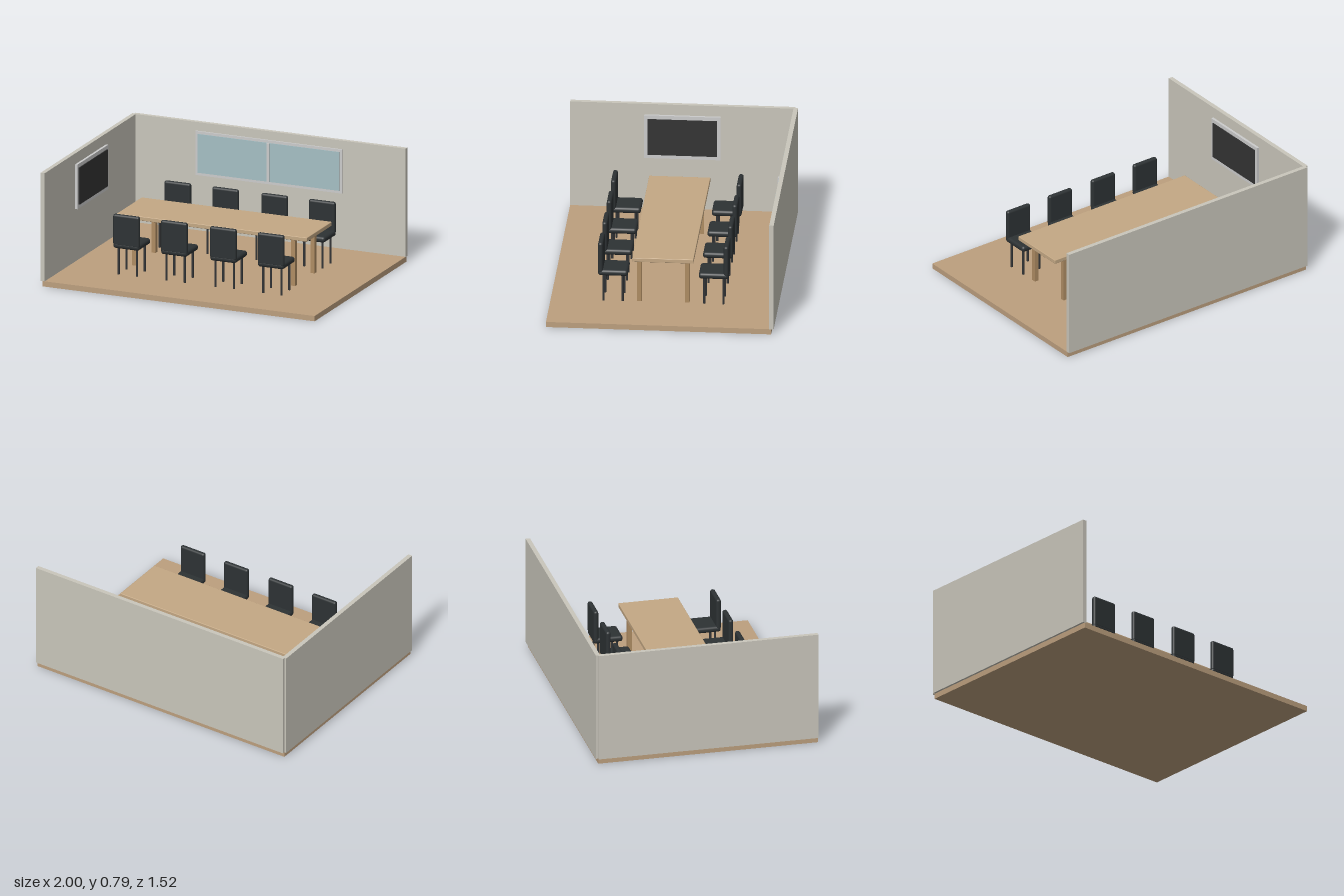
import * as THREE from 'three';
import { RoundedBoxGeometry } from 'three/addons/geometries/RoundedBoxGeometry.js';

const mat = (color) => new THREE.MeshStandardMaterial({ color });
const mats = {
  floor: mat(0xbc9f7e), wall: mat(0xc9c6bb), frame: mat(0xcccccc), glass: mat(0xa5bfc4),
  screen: mat(0x333333), wood: mat(0xc4a884), leg: mat(0xae8c63), seat: mat(0x2d3234), metal: mat(0x333537),
};

// Box given by its min and max corners; a radius rounds its edges
function box(parent, name, material, [x0, y0, z0], [x1, y1, z1], radius = 0) {
  const size = [x1 - x0, y1 - y0, z1 - z0];
  const geometry = radius ? new RoundedBoxGeometry(...size, 3, radius) : new THREE.BoxGeometry(...size);
  const mesh = new THREE.Mesh(geometry, material);
  mesh.position.set((x0 + x1) / 2, (y0 + y1) / 2, (z0 + z1) / 2);
  mesh.name = name;
  parent.add(mesh);
  return mesh;
}

function group(parent, name) {
  const g = new THREE.Group();
  g.name = name;
  parent.add(g);
  return g;
}

const FLOOR = 0.037;

// Chair centred on its seat, backrest towards +z
function addChair(parent, x, z, turn) {
  const chair = group(parent, 'chair');
  chair.position.set(x, 0, z);
  chair.rotation.y = turn;
  box(chair, 'seat', mats.seat, [-0.096, 0.224, -0.1], [0.096, 0.265, 0.1], 0.018);
  box(chair, 'backrest', mats.seat, [-0.096, 0.242, 0.067], [0.096, 0.461, 0.1], 0.015);
  const height = 0.232 - FLOOR;
  for (const sx of [-1, 1]) for (const sz of [-1, 1]) {
    const leg = new THREE.Mesh(new THREE.CylinderGeometry(0.0075, 0.0075, height, 12), mats.metal);
    leg.position.set(sx * 0.067, FLOOR + height / 2, sz * 0.064);
    leg.name = 'chairLeg';
    chair.add(leg);
  }
}

export function createModel() {
  const room = new THREE.Group();
  room.name = 'meetingRoom';

  // Floor slab and the two walls
  box(room, 'floor', mats.floor, [-0.985, 0, -0.745], [1, FLOOR, 0.762]);
  box(room, 'backWall', mats.wall, [-0.985, FLOOR, -0.762], [1, 0.79, -0.732]);
  box(room, 'sideWall', mats.wall, [-1, FLOOR, -0.745], [-0.97, 0.79, 0.762]);

  // Window on the back wall: frame, pane and centre bar
  const win = group(room, 'window');
  box(win, 'windowFrame', mats.frame, [-0.53, 0.424, -0.735], [0.54, 0.73, -0.721]);
  box(win, 'windowPane', mats.glass, [-0.512, 0.442, -0.73], [0.522, 0.712, -0.717]);
  box(win, 'windowBar', mats.frame, [-0.004, 0.442, -0.73], [0.014, 0.712, -0.708]);

  // Wall screen
  const display = group(room, 'wallScreen');
  box(display, 'screenFrame', mats.frame, [-0.975, 0.404, -0.245], [-0.953, 0.714, 0.265]);
  box(display, 'screenPanel', mats.screen, [-0.96, 0.43, -0.222], [-0.947, 0.688, 0.242]);

  // Table
  const table = group(room, 'table');
  box(table, 'tableTop', mats.wood, [-0.69, 0.363, -0.2], [0.698, 0.392, 0.21], 0.004);
  for (const x of [-0.575, 0.585]) for (const z of [-0.151, 0.169]) {
    box(table, 'tableLeg', mats.leg, [x - 0.015, FLOOR, z - 0.015], [x + 0.015, 0.366, z + 0.015]);
  }

  // Four chairs on each long side, facing the table
  for (const x of [-0.52, -0.171, 0.187, 0.535]) {
    addChair(room, x, 0.345, 0);
    addChair(room, x, -0.329, Math.PI);
  }
  return room;
}
